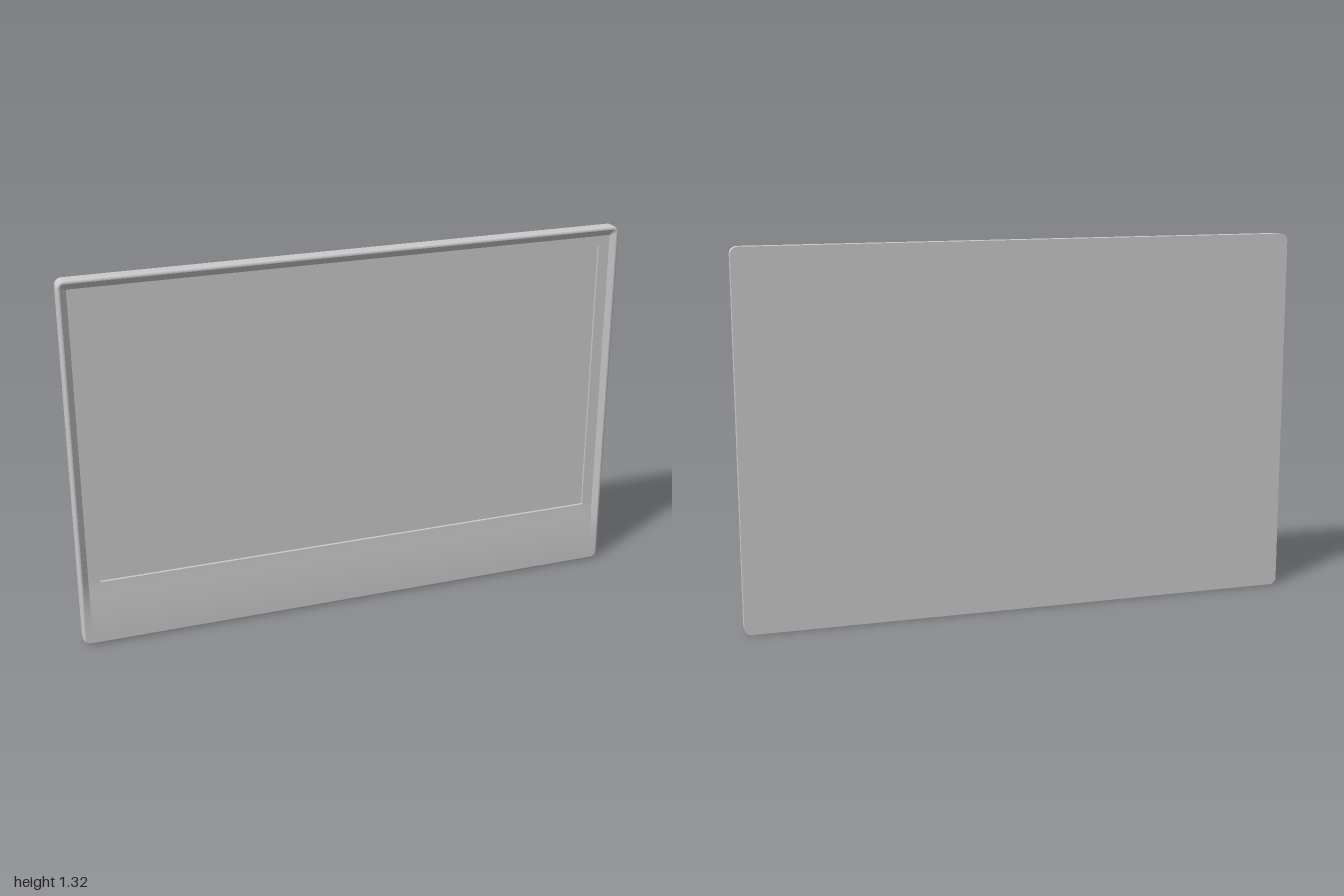
import * as THREE from 'three';

const W = 1, H = 1.324, BACK = -0.0225, RIM = 0.0225, FACE = 0.012, SCREEN_Z = 0.002;
const material = new THREE.MeshStandardMaterial({ color: 0xcccccc });

// Front face depth: recessed around the screen, swelling out to the rim at the chin
function faceZ(y) {
  const t = THREE.MathUtils.clamp((0.23 - y) / 0.2, 0, 1);
  return FACE + (RIM - FACE) * Math.sin(t * Math.PI / 2);
}

// Rounded rectangle, counter-clockwise from the front, always the same point count
function contour(hw, y0, y1, r, z) {
  const points = [];
  const corners = [[hw - r, y0 + r, 3], [hw - r, y1 - r, 0], [-hw + r, y1 - r, 1], [-hw + r, y0 + r, 2]];
  corners.forEach(([cx, cy, quarter], c) => {
    for (let i = 0; i <= 6; i++) {
      const a = (quarter + i / 6) * Math.PI / 2;
      points.push(new THREE.Vector3(cx + r * Math.cos(a), cy + r * Math.sin(a), 0));
    }
    const last = points[points.length - 1];
    const [nx, ny, nq] = corners[(c + 1) % 4];
    const a = nq * Math.PI / 2;
    const next = new THREE.Vector3(nx + r * Math.cos(a), ny + r * Math.sin(a), 0);
    for (let i = 1; i < 40; i++) points.push(last.clone().lerp(next, i / 40));
  });
  points.forEach(p => { p.z = typeof z === 'function' ? z(p.y) : z; });
  return points;
}

const inset = (d, z) => contour(W - d, d, H - d, Math.max(0.025 - d, 0.004), z);
const opening = z => contour(0.928, 0.235, 1.256, 0.003, z);

// Skin joining successive closed contours
function loft(name, loops) {
  const n = loops[0].length, index = [];
  for (let k = 0; k < loops.length - 1; k++) {
    for (let i = 0; i < n; i++) {
      const j = (i + 1) % n;
      const a = k * n + i, b = k * n + j, c = a + n, d = b + n;
      index.push(a, b, d, a, d, c);
    }
  }
  const geometry = new THREE.BufferGeometry().setFromPoints(loops.flat());
  geometry.setIndex(index);
  geometry.computeVertexNormals();
  const mesh = new THREE.Mesh(geometry, material);
  mesh.name = name;
  return mesh;
}

export function createModel() {
  const group = new THREE.Group();
  group.name = 'displayPanel';

  // Flat back
  const outline = inset(0, BACK);
  const back = new THREE.Mesh(
    new THREE.ShapeGeometry(new THREE.Shape(outline.map(p => new THREE.Vector2(p.x, p.y)))), material);
  back.name = 'backPanel';
  back.rotation.y = Math.PI;
  back.position.z = BACK;
  group.add(back);

  // Straight sides, then the rounded front edge
  const round = 0.008;
  group.add(loft('outerEdge', [outline, inset(0, RIM - round)]));
  const arc = [];
  for (let i = 0; i <= 5; i++) {
    const a = i / 5 * Math.PI / 2;
    arc.push(inset(round * (1 - Math.cos(a)), RIM - round + round * Math.sin(a)));
  }
  group.add(loft('roundedFrontEdge', arc));

  // Raised rim sloping down to the bezel; it fades out at the chin
  const bezelOuter = inset(0.032, faceZ);
  group.add(loft('rimTop', [inset(round, RIM), inset(0.011, RIM)]));
  group.add(loft('rimSlope', [inset(0.011, RIM), bezelOuter]));

  // Bezel and chin
  const bezelInner = opening(FACE), bezel = [];
  for (let k = 0; k <= 12; k++) {
    bezel.push(bezelOuter.map((p, i) => {
      const q = p.clone().lerp(bezelInner[i], k / 12);
      q.z = faceZ(q.y);
      return q;
    }));
  }
  group.add(loft('bezel', bezel));

  // Recessed screen
  group.add(loft('screenRecess', [bezelInner, opening(SCREEN_Z)]));
  const screen = new THREE.Mesh(new THREE.PlaneGeometry(1.856, 1.021), material);
  screen.name = 'screen';
  screen.position.set(0, 0.7455, SCREEN_Z);
  group.add(screen);

  return group;
}
